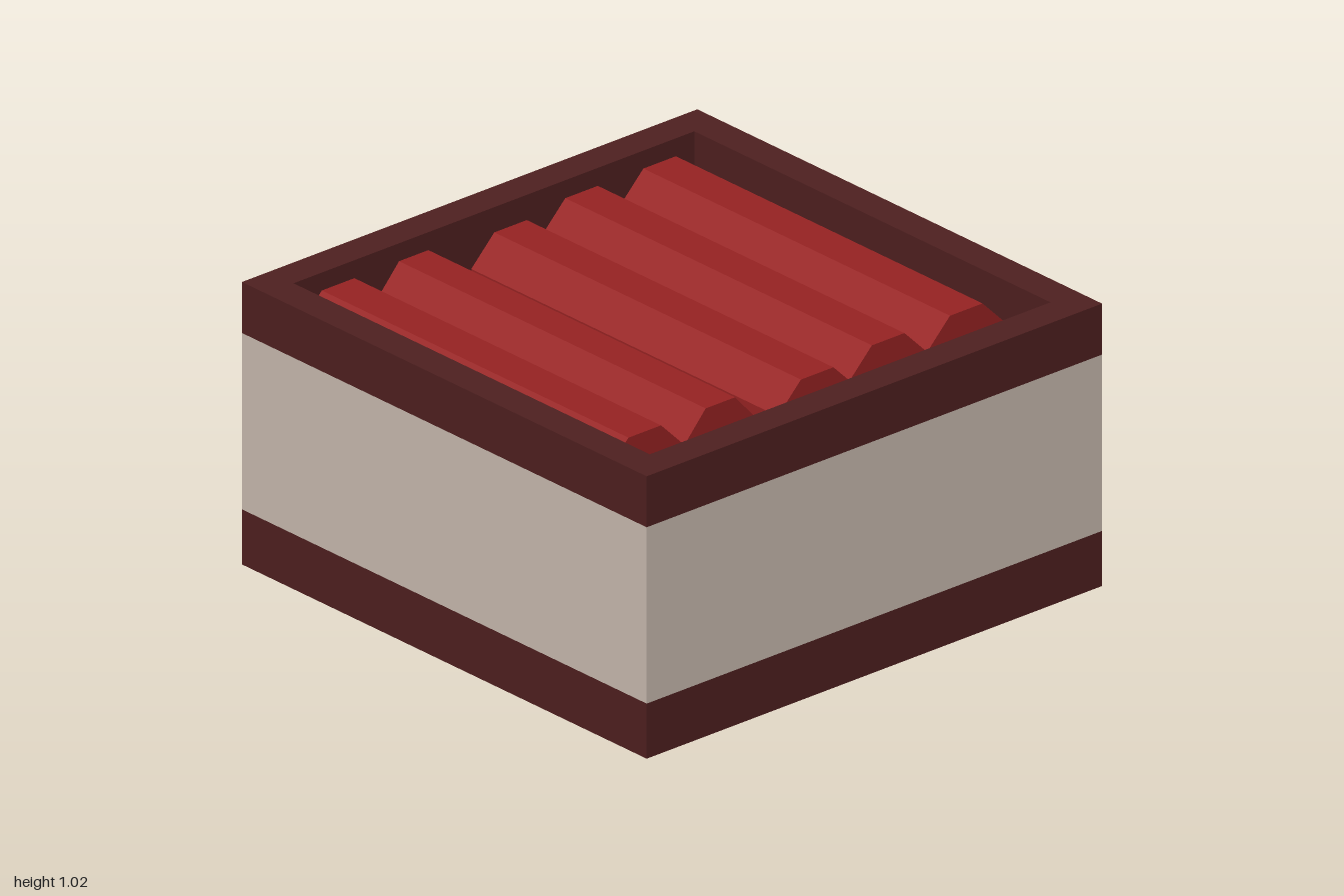
import * as THREE from 'three';

const mat = (name, color, extra = {}) => {
  const m = new THREE.MeshStandardMaterial({ color, ...extra });
  m.name = name;
  return m;
};

// Square ring lying flat, from height y0 to y1
function squareRing(outer, inner, y0, y1) {
  const square = (C, h) => new C([
    new THREE.Vector2(-h, -h), new THREE.Vector2(h, -h),
    new THREE.Vector2(h, h), new THREE.Vector2(-h, h),
  ]);
  const shape = square(THREE.Shape, outer);
  shape.holes.push(square(THREE.Path, inner));
  const geo = new THREE.ExtrudeGeometry(shape, { depth: y1 - y0, bevelEnabled: false });
  return geo.rotateX(-Math.PI / 2).translate(0, y0, 0);
}

// Solid square slab from height y0 to y1
const slab = (half, y0, y1) =>
  new THREE.BoxGeometry(half * 2, y1 - y0, half * 2).translate(0, (y0 + y1) / 2, 0);

// Eight-sided bar along x with flat top and bottom
const bar = (halfWidth, x0, x1) =>
  new THREE.CylinderGeometry(halfWidth / Math.cos(Math.PI / 8), halfWidth / Math.cos(Math.PI / 8), x1 - x0, 8)
    .rotateY(Math.PI / 8)
    .rotateZ(Math.PI / 2)
    .translate((x0 + x1) / 2, 0, 0);

export function createModel() {
  const group = new THREE.Group();
  group.name = 'stickCrate';
  const dark = mat('darkMaroon', 0x4f2020);
  const cream = mat('cream', 0xc9bbb0);
  const red = mat('red', 0x982323);
  const add = (name, geo, material, parent = group) => {
    const mesh = new THREE.Mesh(geo, material);
    mesh.name = name;
    parent.add(mesh);
    return mesh;
  };

  // Crate: dark base, cream body, dark rim and lined inside
  const floorY = 0.62;
  add('base', slab(1, 0, 0.2), dark);
  add('lowerBody', slab(1, 0.2, floorY), cream);
  add('upperBody', squareRing(1, 0.89, floorY, 0.84), cream);
  add('rim', squareRing(1, 0.88, 0.84, 1.025), dark);
  add('lining', squareRing(0.89, 0.88, floorY, 0.84), dark);
  add('floor', slab(0.88, floorY, floorY + 0.006), dark);

  // Sticks in a row, each with a short fuse: [z, x shift, fuse end, depth scale]
  const sticks = [
    [-0.71, 0, 0.72, 1],
    [-0.367, 0, 0.77, 1],
    [-0.018, 0.042, 0.865, 1],
    [0.37, 0, 0.705, 0.9],
    [0.702, 0, 0.745, 1],
  ];
  for (const [z, shift, fuseEnd, depth] of sticks) {
    const stick = new THREE.Group();
    stick.name = 'stick';
    stick.position.set(0, 0.8, z);
    group.add(stick);
    const geo = bar(0.1725, -0.86 + shift, 0.655 + shift).scale(1, 1, depth);
    add('stickBody', geo.toNonIndexed(), red, stick).geometry.computeVertexNormals();
    const fuse = bar(0.022, 0.6, fuseEnd).translate(0, 0, z > 0.6 ? 0.03 : z < -0.6 ? -0.025 : -0.01);
    add('fuse', fuse.toNonIndexed(), cream, stick).geometry.computeVertexNormals();
  }
  return group;
}
